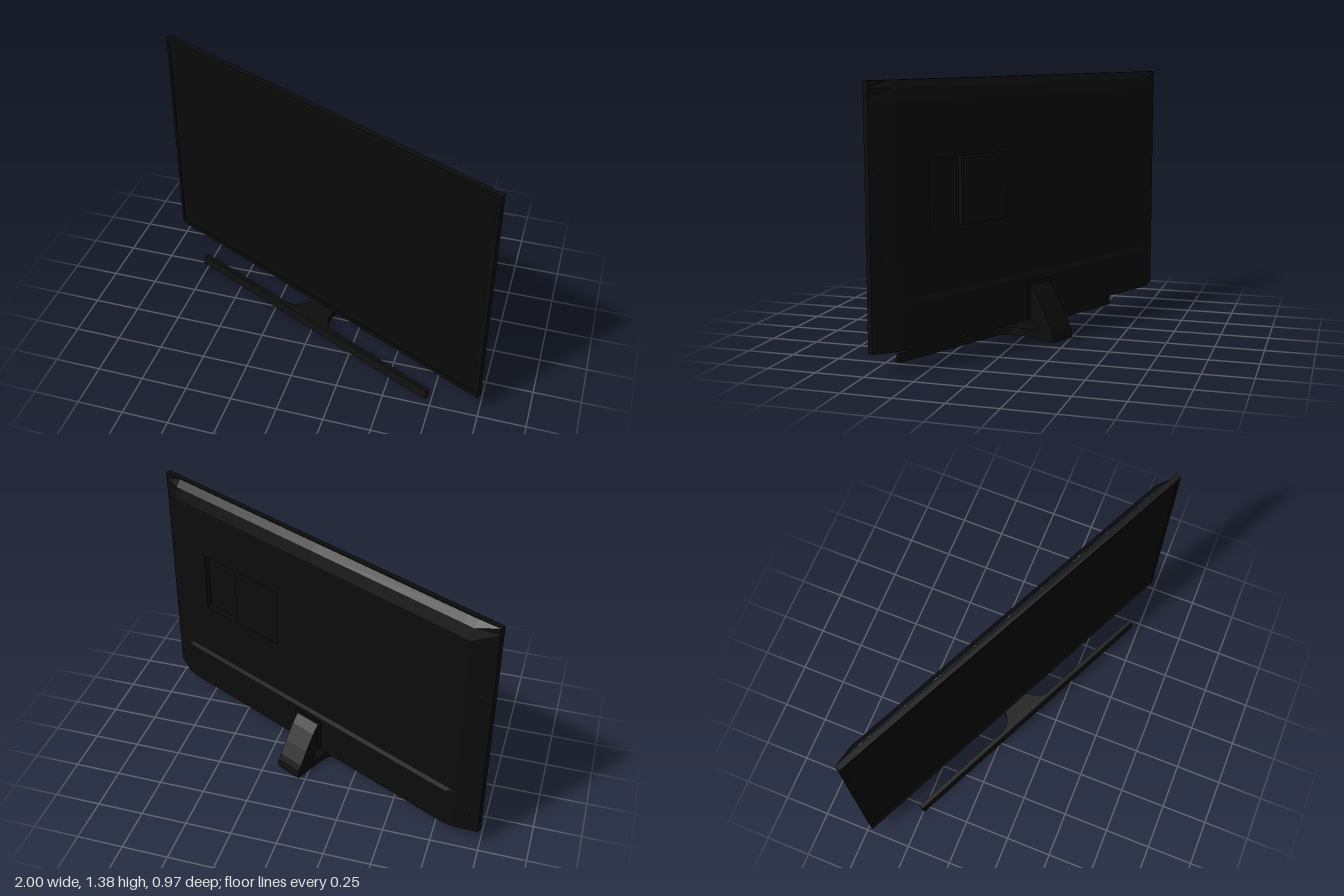
import * as THREE from 'three';

const bodyMat = new THREE.MeshStandardMaterial({ color: 0x0c0c0c, flatShading: true });
const screenMat = new THREE.MeshStandardMaterial({ color: 0x090909 });
const standMat = new THREE.MeshStandardMaterial({ color: 0x0c0c0c });

const HALF_W = 1.097, BOTTOM = 0.11, TOP = 1.375, FRONT = 0.015;

function add(parent, name, geometry, material) {
  const mesh = new THREE.Mesh(geometry, material);
  mesh.name = name;
  parent.add(mesh);
  return mesh;
}

function box(x0, x1, y0, y1, z0, z1) {
  return new THREE.BoxGeometry(x1 - x0, y1 - y0, z1 - z0)
    .translate((x0 + x1) / 2, (y0 + y1) / 2, (z0 + z1) / 2);
}

// Side outline of [z, y] points, extruded across the width
function sideExtrude(points, width) {
  const shape = new THREE.Shape(points.map(([z, y]) => new THREE.Vector2(z, y)));
  return new THREE.ExtrudeGeometry(shape, { depth: width, bevelEnabled: false })
    .translate(0, 0, -width / 2).rotateY(-Math.PI / 2);
}

// Linear interpolation along a list of [position, value]
function lerpTable(table, t) {
  for (let i = 1; i < table.length; i++) {
    const [a, va] = table[i - 1], [b, vb] = table[i];
    if (t <= b) return va + (vb - va) * (t - a) / (b - a);
  }
  return table[table.length - 1][1];
}

// Thickness of the rear shell: tapered sides and top, thicker lower band, stepped pocket
const sideTaper = [[0, 0.078], [0.92, 0.078], [0.98, 0.066], [HALF_W, 0.015]];
const heightTaper = [[BOTTOM, 0.078], [0.33, 0.078], [0.35, 0.068], [1.28, 0.068], [1.34, 0.05], [TOP, 0.02]];
function rearDepth(x, y) {
  let d = Math.min(lerpTable(sideTaper, Math.abs(x)), lerpTable(heightTaper, y));
  if (y > 0.6605 && y < 0.9995) {
    if (x > 0.5505 && x < 0.7745) d -= 0.03;
    else if (x > 0.2355 && x < 0.5505) d -= 0.008;
  }
  return d;
}

function rearShell() {
  const xs = [-HALF_W, -0.98, -0.95, -0.92, 0, 0.235, 0.236, 0.55, 0.551, 0.774, 0.775, 0.92, 0.95, 0.98, HALF_W];
  const ys = [TOP, 1.34, 1.28, 1, 0.999, 0.661, 0.66, 0.35, 0.33, BOTTOM];
  const geo = new THREE.PlaneGeometry(1, 1, xs.length - 1, ys.length - 1);
  const pos = geo.attributes.position;
  ys.forEach((y, j) => xs.forEach((x, i) => {
    // columns run from the model's left to its right so the faces look backwards
    const u = xs[xs.length - 1 - i];
    pos.setXYZ(j * xs.length + i, u, y, -rearDepth(u, y));
  }));
  geo.computeVertexNormals();
  return geo;
}

// Flat floor and ends closing the shell between the front frame and its rear surface
function shellFloor() {
  const pts = [[-HALF_W, 0], [HALF_W, 0], [HALF_W, -0.015], [0.98, -0.066], [0.92, -0.078],
    [-0.92, -0.078], [-0.98, -0.066], [-HALF_W, -0.015]];
  const shape = new THREE.Shape(pts.map(([x, z]) => new THREE.Vector2(x, z)));
  return new THREE.ExtrudeGeometry(shape, { depth: 0.004, bevelEnabled: false })
    .rotateX(Math.PI / 2).translate(0, BOTTOM + 0.004, 0);
}

function rectPath(path, x, y0, y1) {
  path.moveTo(-x, y0);
  path.lineTo(x, y0);
  path.lineTo(x, y1);
  path.lineTo(-x, y1);
  path.closePath();
  return path;
}

function buildPanel() {
  const panel = new THREE.Group();
  panel.name = 'displayPanel';

  // Front frame around a slightly recessed screen
  const frame = rectPath(new THREE.Shape(), HALF_W, BOTTOM, TOP);
  frame.holes.push(rectPath(new THREE.Path(), HALF_W - 0.018, BOTTOM + 0.024, TOP - 0.018));
  add(panel, 'frontFrame',
    new THREE.ExtrudeGeometry(frame, { depth: FRONT + 0.015, bevelEnabled: false }).translate(0, 0, -0.015), bodyMat);
  add(panel, 'screen', box(-HALF_W + 0.016, HALF_W - 0.016, BOTTOM + 0.02, TOP - 0.016, 0, 0.011), screenMat);

  add(panel, 'rearShell', rearShell(), bodyMat);
  add(panel, 'shellFloor', shellFloor(), bodyMat);

  // Screws along both tapered sides
  for (const side of [-1, 1]) {
    for (const y of [0.21, 0.56, 0.95]) {
      const screw = add(panel, 'screw', new THREE.CylinderGeometry(0.009, 0.009, 0.006, 12), standMat);
      screw.rotation.x = Math.PI / 2;
      screw.position.set(side * 1.045, y, -0.037);
    }
  }
  return panel;
}

function buildStand() {
  const stand = new THREE.Group();
  stand.name = 'stand';

  // Long floor bar with a sloping front
  add(stand, 'floorBar', sideExtrude([[0.078, 0], [0.114, 0], [0.102, 0.045], [0.078, 0.045]], 1.66), standMat)
    .position.x = 0.015;

  // Foot plate flaring into the bar
  const foot = new THREE.Shape();
  foot.moveTo(-0.19, 0.085);
  foot.bezierCurveTo(-0.12, 0.07, -0.078, 0.02, -0.075, -0.06);
  foot.lineTo(-0.075, -0.245);
  foot.lineTo(0.075, -0.245);
  foot.lineTo(0.075, -0.06);
  foot.bezierCurveTo(0.078, 0.02, 0.12, 0.07, 0.19, 0.085);
  foot.closePath();
  add(stand, 'footPlate',
    new THREE.ExtrudeGeometry(foot, { depth: 0.041, bevelEnabled: false, curveSegments: 12 })
      .rotateX(Math.PI / 2).translate(0, 0.043, 0), standMat);

  // Leaning neck that rises forward to the back of the panel
  add(stand, 'neck', sideExtrude([
    [-0.13, 0.03], [-0.105, 0.085], [-0.07, 0.13], [-0.07, 0.295], [-0.088, 0.285],
    [-0.125, 0.24], [-0.18, 0.155], [-0.225, 0.08], [-0.247, 0.03],
  ], 0.15), standMat);

  // Mounting bracket
  add(stand, 'bracket', box(-0.09, 0.09, 0.13, 0.305, -0.086, -0.07), standMat);
  return stand;
}

export function createModel() {
  const model = new THREE.Group();
  model.name = 'television';
  const turned = new THREE.Group();
  turned.name = 'turnedTelevision';
  turned.rotation.y = -0.44;
  turned.add(buildPanel(), buildStand());
  model.add(turned);
  return model;
}
